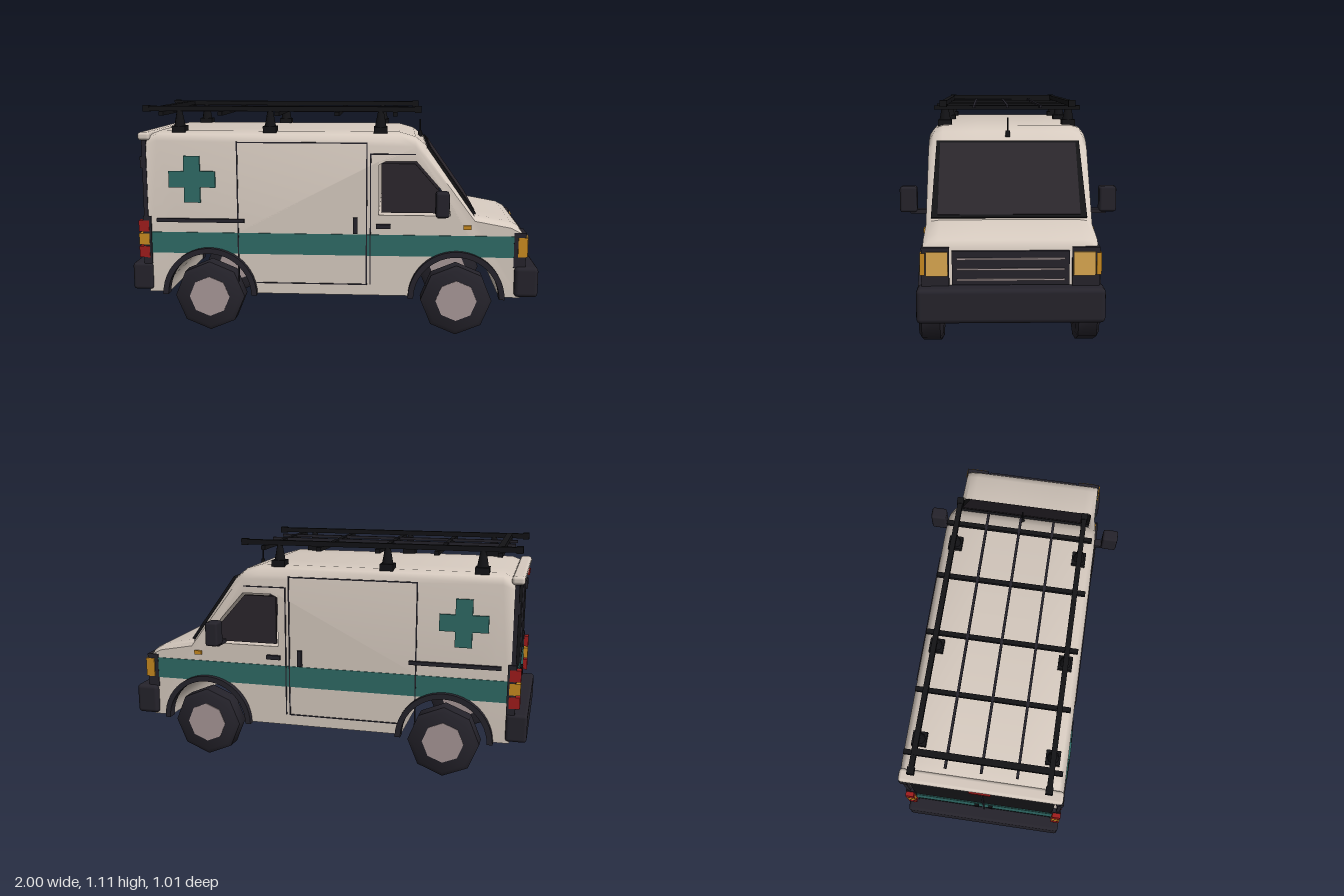
import * as THREE from 'three';
import { toCreasedNormals } from 'three/addons/utils/BufferGeometryUtils.js';
import { RoundedBoxGeometry } from 'three/addons/geometries/RoundedBoxGeometry.js';

const mat = (color) => new THREE.MeshStandardMaterial({ color });
const M = {
  paint: mat(0xd6cabf), teal: mat(0x2f6b66), dark: mat(0x25232b), black: mat(0x131316),
  glass: mat(0x2b262c), hub: mat(0xa89898), lamp: mat(0xdba850), red: mat(0xa01c1c), orange: mat(0xc98a20),
};
const W = 0.375; // half width of the body
const WHEELS = [-0.61, 0.605];

export function createModel() {
  const van = new THREE.Group();
  van.name = 'van';

  const add = (name, geo, material, x = 0, y = 0, z = 0) => {
    const m = new THREE.Mesh(geo, material);
    m.name = name;
    m.position.set(x, y, z);
    van.add(m);
    return m;
  };
  // Box given by its limits on each axis
  const box = (name, material, [x0, x1], [y0, y1], [z0, z1]) =>
    add(name, new THREE.BoxGeometry(x1 - x0, y1 - y0, z1 - z0), material,
      (x0 + x1) / 2, (y0 + y1) / 2, (z0 + z1) / 2);
  const both = (fn) => [1, -1].forEach(fn);
  // The same box on both flanks
  const sideBox = (name, material, xs, ys, [z0, z1]) =>
    both((s) => box(name, material, xs, ys, s > 0 ? [z0, z1] : [-z1, -z0]));
  // A flat shape with thickness on both flanks
  const sideSlab = (name, material, shape, z0, depth) => both((s) =>
    add(name, new THREE.ExtrudeGeometry(shape, { depth, bevelEnabled: false, curveSegments: 12 }),
      material, 0, 0, s > 0 ? z0 : -z0 - depth));
  const poly = (pts) => new THREE.Shape(pts.map((p) => new THREE.Vector2(...p)));

  // Body shell: side profile with wheel tunnels and a window opening
  const profile = new THREE.Shape();
  profile.moveTo(-0.92, 0.185);
  for (const cx of WHEELS) {
    profile.lineTo(cx - 0.21, 0.185);
    profile.absarc(cx, 0.185, 0.21, Math.PI, 0, true);
  }
  [[0.915, 0.185], [0.925, 0.5], [0.905, 0.532], [0.865, 0.553], [0.69, 0.585], [0.45, 0.925],
    [0.4, 0.965], [0.32, 0.988], [-0.86, 0.988], [-0.92, 0.965]].forEach((p) => profile.lineTo(...p));
  profile.closePath();
  profile.holes.push(new THREE.Path(
    [[0.225, 0.587], [0.225, 0.85], [0.405, 0.85], [0.555, 0.68], [0.572, 0.587]].map((p) => new THREE.Vector2(...p))));
  const bodyGeo = new THREE.ExtrudeGeometry(profile, { depth: 8, steps: 8, bevelEnabled: false, curveSegments: 10 });
  // Round the upper edges: outer stations drop along the roof, screen and hood
  const stationZ = [0, 0.15, 0.31, 0.352, W], drop = [0, 0, 0, 0.012, 0.045];
  const pos = bodyGeo.attributes.position;
  for (let i = 0; i < pos.count; i++) {
    const k = Math.round(pos.getZ(i)) - 4, a = Math.abs(k);
    const x = pos.getX(i), y = pos.getY(i);
    pos.setZ(i, Math.sign(k) * stationZ[a]);
    if (y > 0.9 || (x > 0.65 && y > 0.51)) pos.setY(i, y - drop[a] * (y > 0.9 ? 1 : 0.5));
  }
  add('body', toCreasedNormals(bodyGeo, 0.75), M.paint);

  // Side windows, set a little inside their openings
  sideSlab('sideWindow', M.glass,
    poly([[0.237, 0.6], [0.395, 0.6 + 0.238], [0.237, 0.838]].length && [
      [0.237, 0.598], [0.555, 0.598], [0.542, 0.676], [0.399, 0.838], [0.237, 0.838]]), 0.35, 0.015);

  // Windscreen and its dark frame
  const screen = new THREE.Group();
  screen.name = 'windscreen';
  screen.position.set(0.574, 0.757, 0);
  screen.rotation.z = Math.atan2(-0.34, 0.24);
  const pane = (name, len, w0, w1, t, material) => {
    const g = new THREE.BoxGeometry(len, t, 2);
    const p = g.attributes.position;
    for (let i = 0; i < p.count; i++) p.setZ(i, p.getZ(i) * (p.getX(i) > 0 ? w1 : w0));
    const m = new THREE.Mesh(g, material);
    m.name = name;
    screen.add(m);
  };
  pane('windscreenFrame', 0.4, 0.335, 0.352, 0.014, M.black);
  pane('windscreenGlass', 0.375, 0.318, 0.322, 0.02, M.glass);
  van.add(screen);

  // Stripe, crosses, seams and door furniture on the flanks
  sideBox('stripe', M.teal, [-0.925, 0.925], [0.385, 0.49], [W - 0.01, W + 0.004]);
  const a = 0.04, b = 0.115;
  const cross = poly([[-a, -b], [a, -b], [a, -a], [b, -a], [b, a], [a, a],
    [a, b], [-a, b], [-a, a], [-b, a], [-b, -a], [-a, -a]].map(([x, y]) => [x - 0.69, y + 0.755]));
  sideSlab('cross', M.teal, cross, W - 0.005, 0.016);
  for (const [xs, ys] of [
    [[-0.47, -0.464], [0.24, 0.937]], [[0.163, 0.169], [0.24, 0.937]],
    [[-0.47, 0.169], [0.934, 0.94]], [[-0.38, 0.169], [0.237, 0.242]],
    [[0.182, 0.187], [0.24, 0.885]], [[0.182, 0.4], [0.882, 0.887]],
  ]) sideBox('doorSeam', M.dark, xs, ys, [W - 0.005, W + 0.005]);
  sideBox('slidingDoorRail', M.dark, [-0.87, -0.435], [0.542, 0.56], [W - 0.005, 0.39]);
  sideBox('slidingDoorHandle', M.dark, [0.1, 0.122], [0.495, 0.575], [W - 0.005, 0.392]);
  sideBox('frontDoorHandle', M.dark, [0.212, 0.282], [0.522, 0.543], [W - 0.005, 0.392]);
  sideBox('sideIndicator', M.orange, [0.635, 0.672], [0.522, 0.542], [W - 0.01, 0.387]);

  // Door mirrors
  both((s) => add('mirror', new RoundedBoxGeometry(0.065, 0.12, 0.08, 1, 0.012), M.dark, 0.527, 0.658, s * 0.464));
  sideBox('mirrorArm', M.dark, [0.505, 0.545], [0.59, 0.61], [0.36, 0.455]);

  // Wheels and arch flares
  const tyre = new THREE.LatheGeometry([[0, -0.055], [0.15, -0.055], [0.173, -0.042], [0.173, 0.042], [0.15, 0.055], [0, 0.055]]
    .map((p) => new THREE.Vector2(...p)), 8).rotateX(Math.PI / 2);
  const tyreGeo = toCreasedNormals(tyre, 0.9);
  const hubGeo = new THREE.CylinderGeometry(0.1, 0.1, 0.116, 8).rotateX(Math.PI / 2);
  for (const cx of WHEELS) {
    both((s) => {
      add('tyre', tyreGeo, M.dark, cx, 0.173, s * 0.355);
      add('hub', hubGeo, M.hub, cx, 0.173, s * 0.355);
    });
    const flare = new THREE.Shape();
    flare.absarc(cx, 0.18, 0.235, 0, Math.PI, false);
    flare.absarc(cx, 0.18, 0.208, Math.PI, 0, true);
    sideSlab('archFlare', M.dark, flare, 0.355, 0.05);
  }

  // Bumpers
  add('frontBumper', new RoundedBoxGeometry(0.115, 0.15, 0.8, 2, 0.02), M.dark, 0.9425, 0.267, 0);
  add('rearBumper', new RoundedBoxGeometry(0.1, 0.135, 0.78, 2, 0.015), M.dark, -0.95, 0.265, 0);

  // Front: grille with bars, headlights and corner markers
  box('grille', M.dark, [0.9, 0.94], [0.347, 0.493], [-0.25, 0.25]);
  for (const y of [0.37, 0.415, 0.46]) box('grilleBar', M.hub, [0.93, 0.947], [y - 0.004, y + 0.004], [-0.23, 0.23]);
  sideBox('headlightSurround', M.dark, [0.88, 0.938], [0.335, 0.508], [0.262, 0.38]);
  sideBox('headlight', M.lamp, [0.93, 0.95], [0.388, 0.49], [0.267, 0.36]);
  sideBox('cornerMarker', M.orange, [0.9, 0.945], [0.39, 0.485], [0.365, 0.386]);

  // Rear: dark doors, stripe, lamps, hinges and top gutter
  box('rearDoors', M.black, [-0.935, -0.91], [0.2, 0.925], [-0.345, 0.345]);
  box('rearStripe', M.teal, [-0.94, -0.93], [0.385, 0.49], [-0.345, 0.345]);
  box('rearDoorSeam', M.dark, [-0.943, -0.93], [0.33, 0.92], [-0.004, 0.004]);
  sideBox('rearDoorHandle', M.black, [-0.95, -0.93], [0.42, 0.47], [0.025, 0.045]);
  sideBox('rearLampBase', M.dark, [-0.94, -0.9], [0.33, 0.57], [0.34, 0.386]);
  for (const [name, m, y] of [['brakeLamp', M.red, 0.52], ['rearIndicator', M.orange, 0.455], ['tailLamp', M.red, 0.39]])
    sideBox(name, m, [-0.962, -0.91], [y - 0.028, y + 0.028], [0.347, 0.388]);
  sideBox('rearHinge', M.dark, [-0.945, -0.915], [0.81, 0.866], [0.35, 0.384]);
  sideBox('rearPillar', M.dark, [-0.936, -0.915], [0.57, 0.945], [0.362, 0.379]);
  add('rearGutter', new RoundedBoxGeometry(0.06, 0.04, 0.75, 2, 0.015), M.paint, -0.928, 0.963, 0);
  box('upperBrakeLamp', M.red, [-0.965, -0.93], [0.945, 0.965], [-0.05, 0.05]);

  // Roof rack: feet, side rails, cross bars and slim slats
  both((s) => {
    const z = s * 0.305;
    box('rackRail', M.black, [-0.93, 0.42], [1.084, 1.108], [z - 0.012, z + 0.012]);
    for (const x of [-0.925, 0.41]) box('rackRailCap', M.black, [x - 0.016, x + 0.016], [1.08, 1.112], [z - 0.016, z + 0.016]);
    for (const x of [-0.76, -0.31, 0.23]) {
      box('rackFoot', M.black, [x - 0.033, x + 0.033], [0.97, 1.012], [z - 0.033, z + 0.033]);
      add('rackPost', new THREE.CylinderGeometry(0.013, 0.028, 0.08, 8), M.black, x, 1.05, z);
    }
  });
  for (const x of [-0.84, -0.55, -0.27, 0.02, 0.3])
    box('rackCrossBar', M.black, [x - 0.011, x + 0.011], [1.064, 1.084], [-0.355, 0.355]);
  box('rackRearBar', M.black, [-0.855, -0.825], [1.087, 1.109], [-0.305, 0.305]);
  for (const z of [-0.16, 0, 0.16])
    box('rackSlat', M.dark, [-0.89, 0.37], [1.074, 1.088], [z - 0.006, z + 0.006]);

  // Aerial
  add('aerialBase', new THREE.CylinderGeometry(0.01, 0.012, 0.03, 8), M.black, 0.43, 0.955, 0);
  add('aerial', new THREE.CylinderGeometry(0.004, 0.004, 0.09, 6), M.black, 0.43, 0.985, 0);

  return van;
}
